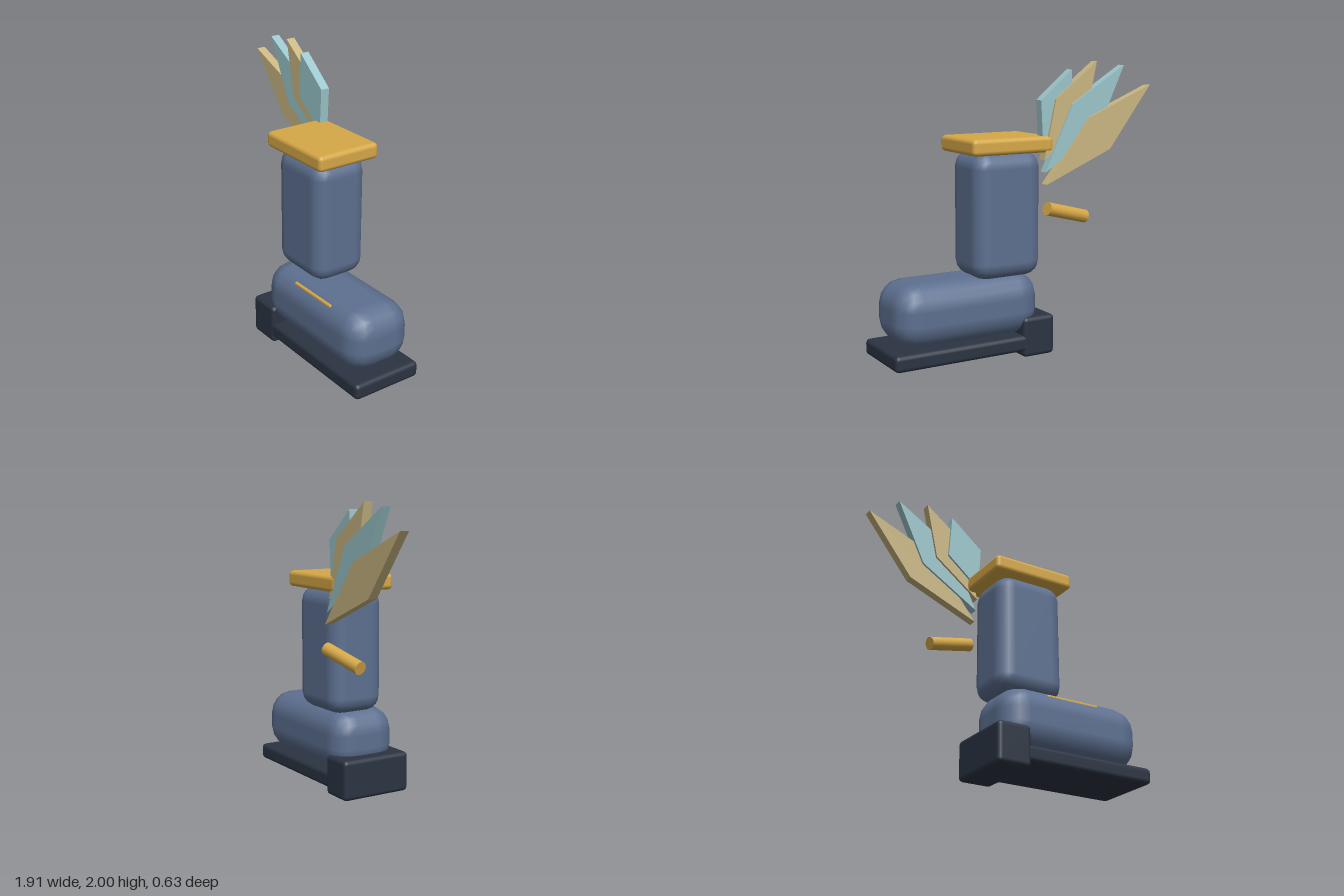
import * as THREE from 'three';
import { RoundedBoxGeometry } from 'three/addons/geometries/RoundedBoxGeometry.js';

const material = (name, color) => {
  const m = new THREE.MeshStandardMaterial({ color });
  m.name = name;
  return m;
};

export function createModel() {
  const blue = material('slate blue leather', 0x5d7090);
  const dark = material('dark rubber', 0x2b3442);
  const gold = material('gold trim', 0xd6a848);
  const sand = material('sand feather', 0xc9b682);
  const teal = material('teal feather', 0x9bc6cb);

  const model = new THREE.Group();
  model.name = 'wingedBoot';

  const add = (name, geometry, mat) => {
    const mesh = new THREE.Mesh(geometry, mat);
    mesh.name = name;
    model.add(mesh);
    return mesh;
  };

  // Rounded block given by its [min, max] span on each axis
  const block = (name, mat, x, y, z, radius) => {
    const g = new RoundedBoxGeometry(x[1] - x[0], y[1] - y[0], z[1] - z[0], 2, radius);
    add(name, g, mat).position.set((x[0] + x[1]) / 2, (y[0] + y[1]) / 2, (z[0] + z[1]) / 2);
  };

  // Boot body
  block('sole', dark, [-0.2, 0.953], [0.047, 0.158], [-0.202, 0.31], 0.03);
  block('heel', dark, [-0.237, 0.007], [0.004, 0.282], [-0.205, 0.314], 0.03);
  block('foot', blue, [-0.155, 0.91], [0.153, 0.586], [-0.2, 0.295], 0.17);
  block('shaft', blue, [-0.138, 0.366], [0.567, 1.417], [-0.222, 0.185], 0.11);
  block('cuff', gold, [-0.19, 0.417], [1.405, 1.514], [-0.257, 0.214], 0.03);
  block('footStripe', gold, [0.175, 0.577], [0.524, 0.55], [0.223, 0.247], 0.01);

  // Pull tab: a slanted rod behind the shaft
  const from = new THREE.Vector3(-0.458, 0.949, -0.228);
  const to = new THREE.Vector3(-0.125, 1.034, -0.272);
  const axis = to.clone().sub(from);
  const rod = add('pullTab', new THREE.CylinderGeometry(0.045, 0.045, axis.length(), 16), gold);
  rod.position.copy(from).add(to).multiplyScalar(0.5);
  rod.quaternion.setFromUnitVectors(new THREE.Vector3(0, 1, 0), axis.normalize());

  // Wing: kite-shaped feathers fanned out and staggered in depth
  const tips = [[-0.957, 1.834], [-0.744, 1.972], [-0.53, 2.0], [-0.338, 1.947]];
  tips.forEach(([tx, ty], i) => {
    const root = new THREE.Vector2(-0.117, 1.195 + 0.08 * i);
    const spine = new THREE.Vector2(tx, ty).sub(root);
    const middle = root.clone().addScaledVector(spine, 0.505);
    const side = new THREE.Vector2(spine.y, -spine.x).normalize().multiplyScalar(0.14);
    const kite = new THREE.Shape([
      root, middle.clone().add(side), new THREE.Vector2(tx, ty), middle.clone().sub(side),
    ]);
    const g = new THREE.ExtrudeGeometry(kite, { depth: 0.064, bevelEnabled: false });
    add('feather' + (i + 1), g, i % 2 ? teal : sand).position.z = -0.283 + 0.016 * i;
  });

  return model;
}
